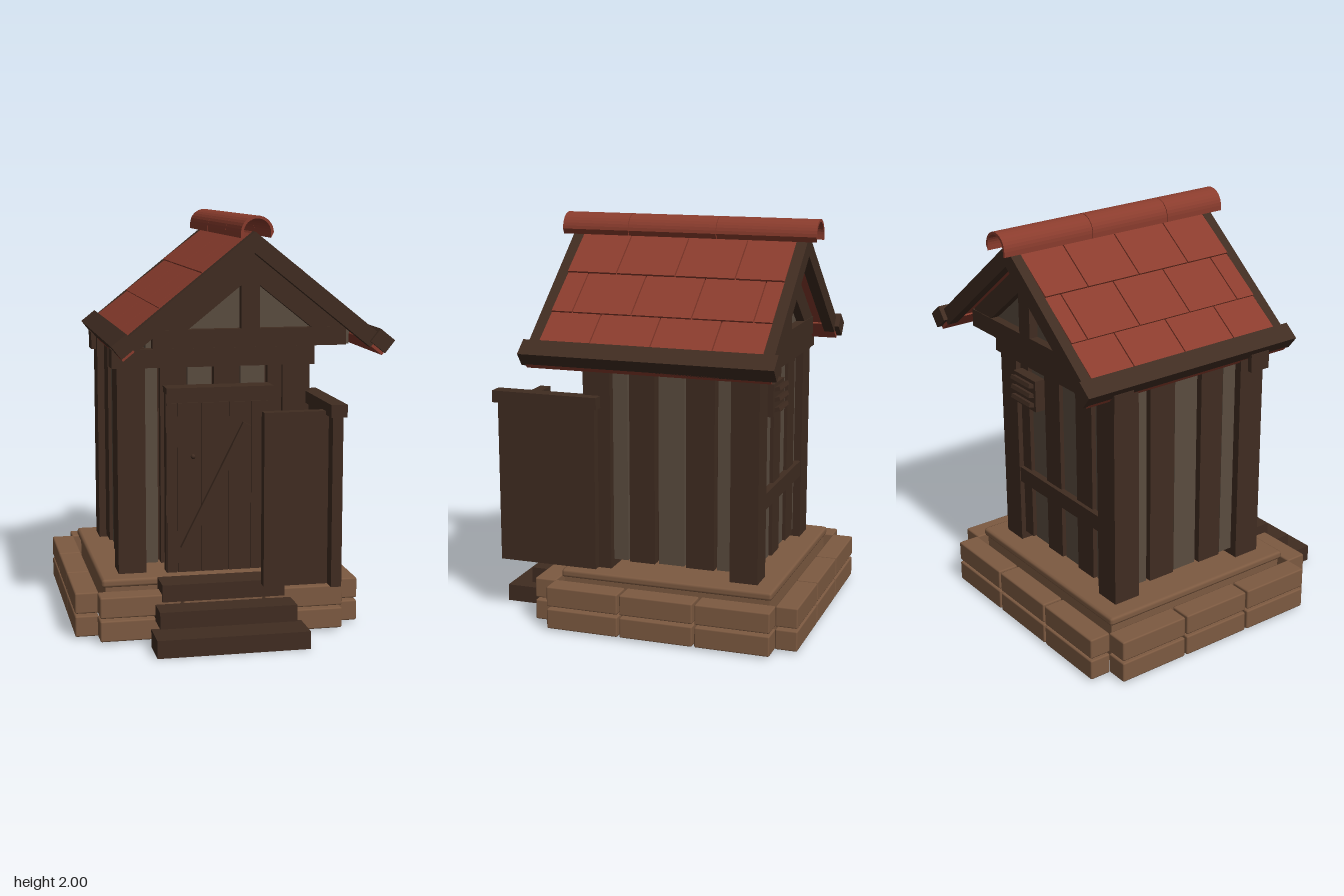
import * as THREE from 'three';
import { RoundedBoxGeometry } from 'three/addons/geometries/RoundedBoxGeometry.js';

const mat = (color) => new THREE.MeshStandardMaterial({ color, side: THREE.DoubleSide });
const DARK = mat(0x402c21), GREY = mat(0x5a4c3f), RED = mat(0x8a3c2d), STONE = mat(0x7d5a41);

// Box given by its limits; a radius softens the edges
function box(parent, name, m, [x0, x1], [y0, y1], [z0, z1], radius = 0) {
  const size = [x1 - x0, y1 - y0, z1 - z0];
  const geo = radius ? new RoundedBoxGeometry(...size, 1, radius) : new THREE.BoxGeometry(...size);
  const mesh = new THREE.Mesh(geo, m);
  mesh.name = name;
  mesh.position.set((x0 + x1) / 2, (y0 + y1) / 2, (z0 + z1) / 2);
  parent.add(mesh);
  return mesh;
}

function part(parent, name) {
  const g = new THREE.Group();
  g.name = name;
  parent.add(g);
  return g;
}

function buildBase(root) {
  const base = part(root, 'stoneBase');
  // Two courses of blocks, three to a side
  for (const y of [[0.01, 0.112], [0.124, 0.226]]) {
    for (let i = 0; i < 3; i++) {
      const xs = [-0.665 + i * 0.397, -0.665 + i * 0.397 + 0.386];
      const zs = [-0.692 + i * 0.38, -0.692 + i * 0.38 + 0.369];
      for (const z of [[-0.8, -0.69], [0.432, 0.542]]) box(base, 'stoneBlock', STONE, xs, y, z, 0.008);
      for (const x of [[-0.772, -0.658], [0.505, 0.62]]) box(base, 'stoneBlock', STONE, x, y, zs, 0.008);
    }
  }
  box(base, 'plinth', STONE, [-0.62, 0.47], [0.03, 0.24], [-0.65, 0.4]);
  box(base, 'plinthEdge', STONE, [-0.64, 0.49], [0.235, 0.277], [-0.665, 0.412], 0.015);
  box(base, 'groundPlate', DARK, [-0.57, 0.42], [0.02, 0.1], [-0.6, 0.35]);

  const steps = part(root, 'steps');
  box(steps, 'lowerStep', DARK, [-0.435, 0.29], [0, 0.085], [0.615, 0.797]);
  box(steps, 'middleStep', DARK, [-0.402, 0.255], [0.1, 0.18], [0.5, 0.677]);
  box(steps, 'upperStep', DARK, [-0.37, 0.223], [0.193, 0.275], [0.38, 0.556]);
}

function buildWalls(root) {
  const walls = part(root, 'walls');
  for (const x of [[-0.545, -0.41], [0.265, 0.4]])
    for (const z of [[0.18, 0.32], [-0.57, -0.43]]) box(walls, 'cornerPost', DARK, x, [0.275, 1.375], z);
  for (const z of [[0.225, 0.335], [-0.585, -0.475]])
    box(walls, 'topBeam', DARK, [-0.57, 0.42], [1.28, 1.37], z);

  // Alternating planks; the dark ones stand slightly proud
  const side = [[0.105, 0.185], [-0.04, 0.09], [-0.187, -0.055], [-0.343, -0.2], [-0.435, -0.355]];
  side.forEach((z, i) => {
    const out = i % 2 ? 0.015 : 0, m = i % 2 ? DARK : GREY;
    box(walls, 'sidePlank', m, [0.33, 0.36 + out], [0.315, 1.36], z);
    box(walls, 'sidePlank', m, [-0.505 - out, -0.475], [0.315, 1.36], z);
  });
  const ends = [[-0.415, -0.345], [-0.333, -0.205], [-0.197, -0.08], [-0.07, 0.055], [0.065, 0.185], [0.195, 0.27]];
  ends.forEach((x, i) => {
    const out = i % 2 ? 0.015 : 0, m = i % 2 ? DARK : GREY;
    box(walls, 'frontPlank', m, x, [0.315, 1.32], [0.25, 0.28 + out]);
    box(walls, 'backPlank', m, x, [0.315, 1.32], [-0.53 - out, -0.5]);
  });
  // Dark backing closes the gaps between planks
  for (const x of [[0.32, 0.332], [-0.477, -0.465]]) box(walls, 'sideBacking', DARK, x, [0.32, 1.35], [-0.44, 0.19]);
  for (const z of [[0.24, 0.252], [-0.502, -0.49]]) box(walls, 'endBacking', DARK, [-0.42, 0.28], [0.32, 1.3], z);
  box(walls, 'backRail', DARK, [-0.415, 0.27], [0.61, 0.69], [-0.565, -0.53]);

  // Louvred vent at the back
  const vent = part(root, 'vent');
  box(vent, 'ventPlate', DARK, [0.06, 0.25], [1.07, 1.23], [-0.595, -0.54]);
  for (let i = 0; i < 3; i++)
    box(vent, 'ventSlat', DARK, [0.075, 0.235], [1.095 + i * 0.05, 1.115 + i * 0.05], [-0.622, -0.59]).rotation.x = 0.3;
}

function buildDoor(root) {
  const door = part(root, 'door');
  const seams = [-0.315, -0.262, -0.147, -0.01, 0.1, 0.19];
  for (let i = 0; i < 5; i++)
    box(door, 'doorPlank', DARK, [seams[i] + 0.003, seams[i + 1] - 0.003], [0.28, 1.11], [0.3, 0.355]);
  box(door, 'doorPanel', DARK, [-0.315, 0.19], [0.28, 1.16], [0.29, 0.345]);
  box(door, 'doorHeader', DARK, [-0.32, 0.2], [1.16, 1.19], [0.29, 0.405]);
  const brace = box(door, 'doorBrace', DARK, [-0.0975, -0.0575], [0.36, 1.04], [0.355, 0.38]);
  brace.rotation.z = -0.47;
  const knob = new THREE.Mesh(new THREE.SphereGeometry(0.012, 8, 6), DARK);
  knob.name = 'doorKnob';
  knob.position.set(-0.185, 0.85, 0.36);
  door.add(knob);

  // Privacy screen beside the steps
  const screen = part(root, 'privacyScreen');
  box(screen, 'screenSide', DARK, [0.395, 0.445], [0.28, 1.1], [0.245, 0.755]);
  box(screen, 'screenCap', DARK, [0.38, 0.457], [1.088, 1.147], [0.23, 0.78]);
  box(screen, 'screenFront', DARK, [0.088, 0.4], [0.28, 1.105], [0.63, 0.685]);
}

function buildRoof(root) {
  const roof = part(root, 'roof');
  roof.position.set(0.092, 1.925, 0);
  const slope = Math.atan(0.8);

  // Gable filling running the length of the roof
  const tri = new THREE.Shape([[-0.5, -0.55], [0.5, -0.55], [0.5, -0.49], [0, -0.09], [-0.5, -0.49]]
    .map(([x, y]) => new THREE.Vector2(x, y)));
  const fill = new THREE.Mesh(new THREE.ExtrudeGeometry(tri, { depth: 0.91, bevelEnabled: false }), GREY);
  fill.name = 'gableFill';
  fill.position.z = -0.58;
  roof.add(fill);
  for (const z of [[0.3, 0.375], [-0.625, -0.55]]) {
    box(roof, 'tieBeam', DARK, [-0.473, 0.473], [-0.55, -0.462], z);
    box(roof, 'kingPost', DARK, [-0.045, 0.045], [-0.5, -0.09], z);
  }

  for (const s of [-1, 1]) {
    const half = part(roof, s > 0 ? 'leftSlope' : 'rightSlope');
    half.rotation.z = -s * slope;
    // d runs down the slope, y is square to it
    const add = (name, m, d0, d1, y, z) =>
      box(half, name, m, s > 0 ? [d0, d1] : [-d1, -d0], y, z);
    for (const z of [[0.415, 0.468], [-0.715, -0.662]]) add('bargeboard', DARK, 0, 0.79, [-0.078, 0], z);
    for (const z of [[0.3, 0.372], [-0.622, -0.55]]) add('gableRafter', DARK, 0.08, 0.64, [-0.172, -0.07], z);
    add('roofDeck', RED, 0, 0.79, [-0.065, -0.02], [-0.665, 0.418]);
    add('eaveDeck', RED, 0.72, 0.86, [-0.073, -0.05], [-0.712, 0.466]);
    add('eaveBeam', DARK, 0.768, 0.86, [-0.058, 0.02], [-0.738, 0.488]);

    // Overlapping tile rows with staggered joints
    const rows = [0.0, 0.3, 0.56, 0.78];
    for (let r = 0; r < 3; r++) {
      const joints = r === 1 ? [-0.665, -0.575, -0.28, 0.015, 0.31, 0.418] : [-0.665, -0.425, -0.13, 0.165, 0.418];
      for (let i = 0; i + 1 < joints.length; i++) {
        const tile = add('roofTile', RED, rows[r], rows[r + 1] + 0.01, [-0.02, 0.002],
          [joints[i] + 0.003, joints[i + 1] - 0.003]);
        tile.rotation.z = s * 0.035;
      }
    }
  }

  // Half-round ridge tiles, open underneath
  const arch = new THREE.Shape();
  arch.moveTo(0.078, -0.025);
  arch.absarc(0, 0, 0.078, 0, Math.PI, false);
  arch.lineTo(-0.078, -0.025);
  arch.lineTo(-0.065, -0.025);
  arch.absarc(0, 0, 0.065, Math.PI, 0, true);
  arch.lineTo(0.065, -0.025);
  const ends = [-0.767, -0.275, 0.17, 0.513];
  for (let i = 0; i < 3; i++) {
    const geo = new THREE.ExtrudeGeometry(arch, { depth: ends[i + 1] - ends[i] - 0.003, bevelEnabled: false, curveSegments: 8 });
    const ridge = new THREE.Mesh(geo, RED);
    ridge.name = 'ridgeTile';
    ridge.position.set(0, -0.003, ends[i]);
    roof.add(ridge);
  }
}

export function createModel() {
  const root = new THREE.Group();
  root.name = 'woodenOuthouse';
  buildBase(root);
  buildWalls(root);
  buildDoor(root);
  buildRoof(root);
  return root;
}
